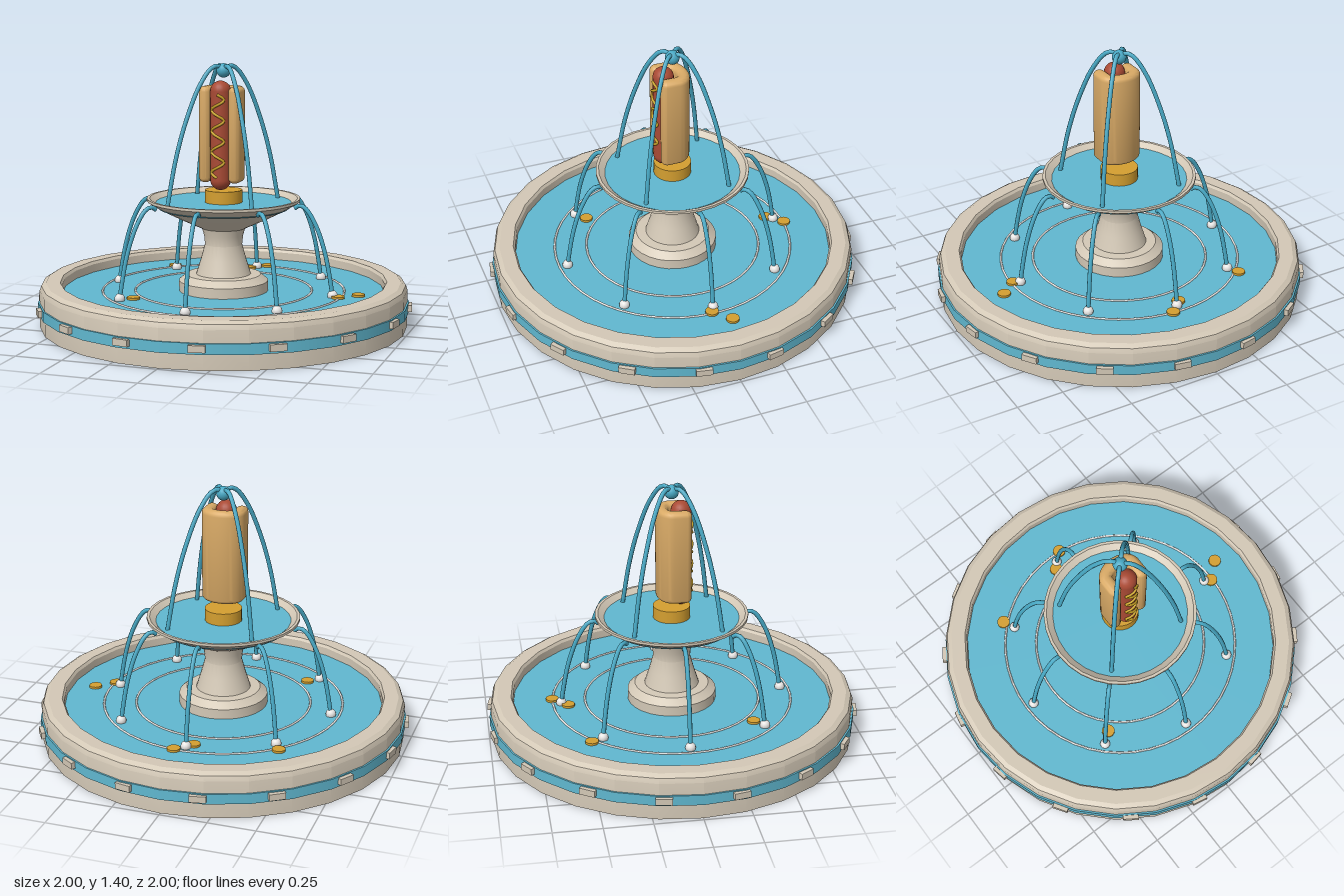
import * as THREE from 'three';
import { toCreasedNormals } from 'three/addons/utils/BufferGeometryUtils.js';

const flat = (name, color) => {
  const m = new THREE.MeshStandardMaterial({ color });
  m.name = name;
  return m;
};

export function createModel() {
  const stone = flat('stone', 0xd3c8b6);
  const water = flat('water', 0x60b8d0);
  const jet = flat('jetWater', 0x48a9c5);
  const foam = flat('foam', 0xe8e6e4);
  const gold = flat('gold', 0xd49f30);
  const bread = flat('bread', 0xd9aa66);
  const meat = flat('meat', 0xa94a34);
  const mustard = flat('mustard', 0xc9a227);

  const model = new THREE.Group();
  model.name = 'fountain';
  const add = (name, geo, mat, x = 0, y = 0, z = 0) => {
    const mesh = new THREE.Mesh(geo, mat);
    mesh.name = name;
    mesh.position.set(x, y, z);
    model.add(mesh);
    return mesh;
  };
  // Turned part with sharp profile corners and smooth sides
  const lathe = (pts, n) =>
    toCreasedNormals(new THREE.LatheGeometry(pts.map(([r, y]) => new THREE.Vector2(r, y)), n), 0.42);
  const tube = (pts, r, n) =>
    new THREE.TubeGeometry(new THREE.CatmullRomCurve3(pts), n, r, 8);

  // Lower basin with painted band and stone tiles
  add('basin', lathe([[0, 0], [0.985, 0], [0.985, 0.2], [0.975, 0.225], [0.95, 0.24],
    [0.875, 0.24], [0.865, 0.225], [0.865, 0.15], [0, 0.15]], 28), stone);
  add('basinBand', new THREE.CylinderGeometry(0.994, 0.994, 0.055, 28), water, 0, 0.108, 0);
  for (let i = 0; i < 16; i++) {
    const a = (i + 0.5) * Math.PI / 8;
    add('bandTile', new THREE.BoxGeometry(0.085, 0.035, 0.03), stone,
      Math.sin(a) * 0.995, 0.112, Math.cos(a) * 0.995).rotation.y = a;
  }
  add('basinWater', new THREE.CylinderGeometry(0.868, 0.868, 0.03, 28), water, 0, 0.165, 0);

  // Ripples on the water
  for (const r of [0.475, 0.65])
    add('ripple', new THREE.TorusGeometry(r, 0.006, 6, 48), foam, 0, 0.182, 0).rotation.x = Math.PI / 2;

  // Coins on the water
  for (const [x, z] of [[0.05, -0.65], [-0.03, -0.57], [-0.46, -0.49], [0.73, -0.06], [0.64, 0.02], [-0.37, 0.38]])
    add('coin', new THREE.CylinderGeometry(0.035, 0.035, 0.012, 16), gold, x, 0.188, z);

  // Pedestal and upper bowl
  add('pedestal', lathe([[0.24, 0.16], [0.24, 0.235], [0.2, 0.268], [0.147, 0.27],
    [0.122, 0.35], [0.1, 0.43], [0.105, 0.48], [0.12, 0.53]], 28), stone);
  add('upperBowl', lathe([[0, 0.515], [0.11, 0.515], [0.24, 0.575], [0.33, 0.62], [0.41, 0.668],
    [0.41, 0.682], [0.395, 0.682], [0.36, 0.655], [0.35, 0.63], [0, 0.63]], 32), stone);
  add('bowlWater', new THREE.CylinderGeometry(0.362, 0.35, 0.03, 32), water, 0, 0.643, 0);
  add('goldStand', new THREE.CylinderGeometry(0.1, 0.1, 0.085, 24), gold, 0, 0.6825, 0);

  // Jets falling from the bowl, each with a splash
  const arc = (profile, a) =>
    profile.map(([r, y]) => new THREE.Vector3(Math.sin(a) * r, y, Math.cos(a) * r));
  const lowJet = [[0.395, 0.645], [0.42, 0.66], [0.455, 0.645], [0.51, 0.56], [0.56, 0.42], [0.595, 0.25], [0.605, 0.18]];
  for (let i = 0; i < 8; i++) {
    const a = i * Math.PI / 4;
    add('lowerJet', tube(arc(lowJet, a), 0.012, 24), jet);
    add('splash', new THREE.SphereGeometry(0.028, 12, 8), foam, Math.sin(a) * 0.605, 0.19, Math.cos(a) * 0.605);
  }

  // Jets from the top nozzle
  const topJet = [[0, 1.365], [0.03, 1.385], [0.07, 1.375], [0.14, 1.285], [0.22, 1.1], [0.28, 0.9], [0.33, 0.65]];
  for (let i = 0; i < 4; i++)
    add('topJet', tube(arc(topJet, (i + 0.5) * Math.PI / 2), 0.012, 32), jet);
  add('topNozzle', new THREE.SphereGeometry(0.038, 16, 12), jet, 0, 1.36, 0);

  // Bun: U-shaped section with rounded lips, stood upright and open to the front
  const b = 0.028;
  const u = new THREE.Shape();
  u.moveTo(0.087, -0.06);
  u.lineTo(0.087, 0);
  u.absellipse(0, 0, 0.087, 0.057, 0, Math.PI, false);
  u.lineTo(-0.087, -0.06);
  u.absarc(-0.082, -0.06, 0.005, Math.PI, Math.PI * 2, false);
  u.lineTo(-0.077, 0);
  u.absellipse(0, 0, 0.077, 0.048, Math.PI, 0, true);
  u.lineTo(0.077, -0.06);
  u.absarc(0.082, -0.06, 0.005, Math.PI, Math.PI * 2, false);
  const bun = new THREE.ExtrudeGeometry(u, {
    depth: 0.454, bevelEnabled: true, bevelThickness: b, bevelSize: b, bevelSegments: 5, curveSegments: 12,
  });
  bun.rotateX(-Math.PI / 2);
  add('bun', toCreasedNormals(bun, 0.8), bread, 0, 0.798, 0);

  // Sausage and its zigzag of mustard
  add('sausage', new THREE.CapsuleGeometry(0.055, 0.47, 8, 20), meat, 0, 1.02, 0.05);
  const zigzag = [];
  for (let i = 0; i <= 56; i++) {
    const t = i / 56;
    const x = 0.034 * Math.sin(t * Math.PI * 8);
    zigzag.push(new THREE.Vector3(x, 1.24 - 0.44 * t, 0.053 + Math.sqrt(0.055 ** 2 - x * x)));
  }
  add('mustardZigzag', tube(zigzag, 0.0075, 112), mustard);

  return model;
}
